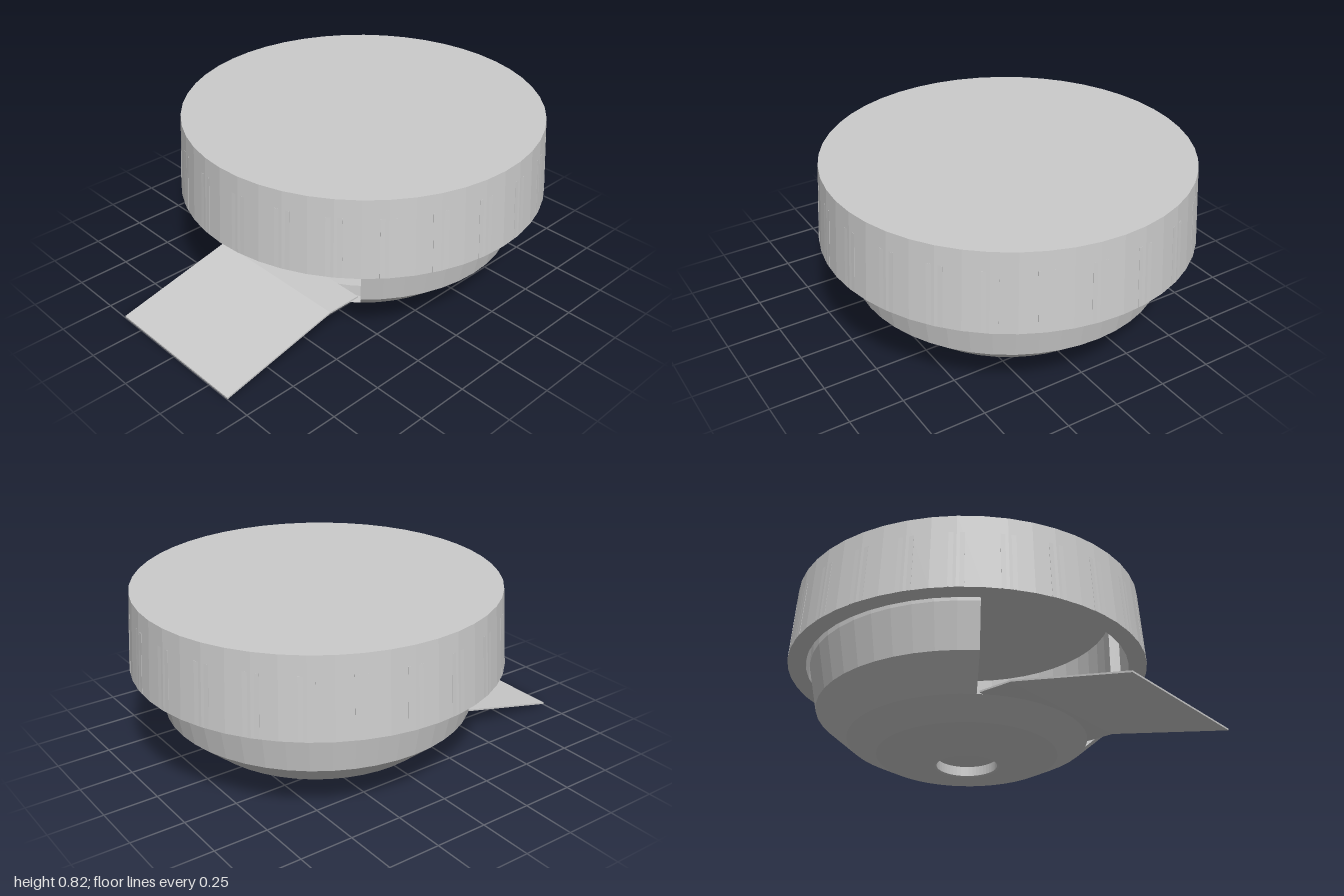
import * as THREE from 'three';

const SIDES = 48;
const material = new THREE.MeshStandardMaterial({
  color: 0xcccccc, flatShading: true, side: THREE.DoubleSide,
});
const points = (list) => list.map(([x, y]) => new THREE.Vector2(x, y));

function addMesh(parent, name, geometry) {
  const mesh = new THREE.Mesh(geometry, material);
  mesh.name = name;
  parent.add(mesh);
  return mesh;
}

export function createModel() {
  const model = new THREE.Group();
  model.name = 'lidded dispenser';

  // Everything round shares one upright axis
  const vessel = new THREE.Group();
  vessel.name = 'vessel';
  vessel.position.x = 0.143;
  model.add(vessel);

  // Shallow bowl with a round recess underneath
  const bowl = points([
    [0, 0.05], [0.14, 0.05], [0.14, 0.005], [0.15, 0], [0.29, 0.02],
    [0.42, 0.05], [0.56, 0.12], [0.51, 0.12], [0.38, 0.08], [0, 0.06],
  ]);
  addMesh(vessel, 'bowl', new THREE.LatheGeometry(bowl, SIDES));

  // Upper wall, open for a quarter turn on the spout side
  const wall = points([
    [0.56, 0.12], [0.71, 0.25], [0.75, 0.46], [0.75, 0.76],
    [0.70, 0.76], [0.70, 0.46], [0.66, 0.26], [0.51, 0.12], [0.56, 0.12],
  ]);
  const start = -Math.PI / 4;
  const sweep = Math.PI * 1.5;
  addMesh(vessel, 'wall', new THREE.LatheGeometry(wall, SIDES * 0.75, start, sweep));
  for (const angle of [start, start + sweep]) {
    const end = addMesh(vessel, 'wallEnd', new THREE.ShapeGeometry(new THREE.Shape(wall)));
    end.rotation.y = angle - Math.PI / 2;
  }

  // Hollow flared lid
  const lid = points([
    [0, 0.78], [0.77, 0.78], [0.77, 0.465], [0.855, 0.465], [0.83, 0.825], [0, 0.825],
  ]);
  addMesh(vessel, 'lid', new THREE.LatheGeometry(lid, SIDES));

  // Nearly flush grip ribs following the slope of the lid
  const ribs = new THREE.Group();
  ribs.name = 'gripRibs';
  vessel.add(ribs);
  const ribGeometry = new THREE.BoxGeometry(0.07, 0.275, 0.012);
  for (let i = 0; i < 24; i++) {
    const pivot = new THREE.Group();
    pivot.rotation.y = ((i + 0.5) / 24) * Math.PI * 2;
    const rib = addMesh(pivot, 'gripRib', ribGeometry);
    rib.position.set(0, 0.603, 0.8385);
    rib.rotation.x = -Math.atan2(0.025, 0.36);
    ribs.add(pivot);
  }

  // Thin bent plate: level inside the opening, then sloping to the ground
  const plate = new THREE.Shape(points([
    [-1, 0.003], [-0.42, 0.135], [-0.25, 0.135],
    [-0.25, 0.143], [-0.42, 0.143], [-1, 0.011],
  ]));
  const spout = new THREE.ExtrudeGeometry(plate, { depth: 0.75, bevelEnabled: false });
  spout.translate(0, 0, -0.375);
  addMesh(model, 'spout', spout);

  return model;
}
